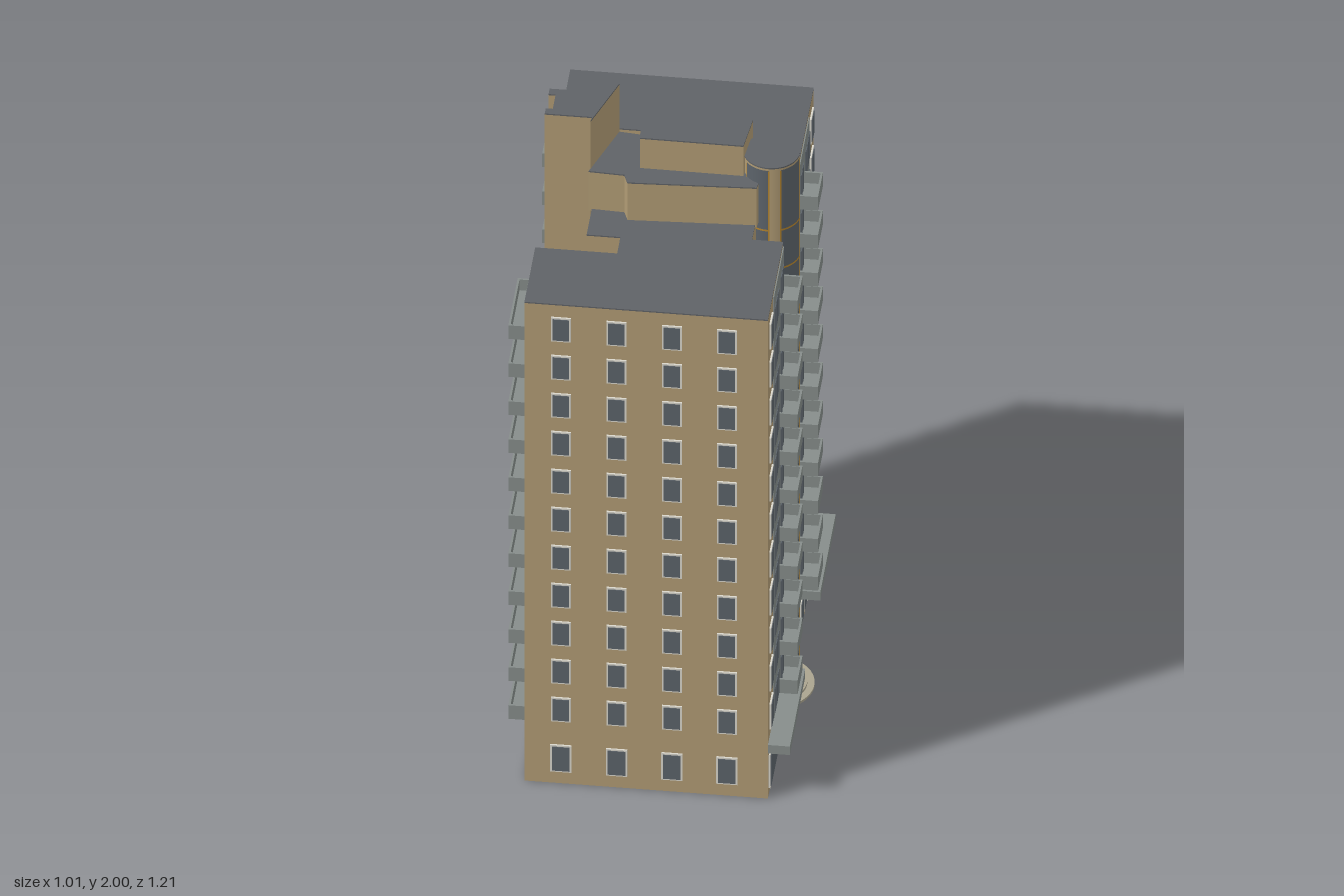
import * as THREE from 'three';
import { mergeGeometries } from 'three/addons/utils/BufferGeometryUtils.js';

const mat = (name, color, side = THREE.FrontSide) => {
  const m = new THREE.MeshStandardMaterial({ color, side });
  m.name = name;
  return m;
};

export function createModel() {
  const M = {
    wall: mat('tan wall', 0xb09b74),
    roof: mat('roof grey', 0x5f6266),
    panel: mat('panel grey', 0x868d8a),
    glass: mat('window glass', 0x5c636a),
    frame: mat('window frame', 0xd9d6cb),
    gold: mat('gold trim', 0xb5852f),
    plinth: mat('plinth stone', 0xaaa48f),
  };
  const model = new THREE.Group();
  model.name = 'apartmentTower';
  const body = new THREE.Group();
  body.name = 'mainBody';
  body.rotation.y = THREE.MathUtils.degToRad(13);
  const crown = new THREE.Group();
  crown.name = 'roofStructures';
  model.add(body, crown);

  const addMesh = (parent, name, geo, material) => {
    const mesh = new THREE.Mesh(geo, material);
    mesh.name = name;
    parent.add(mesh);
    return mesh;
  };

  // Walls raised from a plan of [x, z] points, with a thin grey roof on top
  const prism = (parent, name, plan, y0, y1) => {
    const shape = new THREE.Shape(plan.map(([x, z]) => new THREE.Vector2(x, -z)));
    for (const [suffix, from, to, m] of [['Walls', y0, y1 - 0.004, M.wall], ['Roof', y1 - 0.004, y1, M.roof]]) {
      const geo = new THREE.ExtrudeGeometry(shape, { depth: to - from, bevelEnabled: false });
      geo.rotateX(-Math.PI / 2).translate(0, from, 0);
      addMesh(parent, name + suffix, geo, m);
    }
  };

  // Two wings joined by a narrower core
  const half = [[0.245, 0.175], [0.333, 0.175], [0.333, 0.533], [-0.353, 0.533],
    [-0.353, 0.283], [-0.122, 0.283], [-0.122, 0.208], [-0.217, 0.208]];
  const mirrored = half.map(([x, z]) => [x, -z]).reverse();
  prism(body, 'wings', [...half, ...mirrored], 0, 1.697);

  // Stair tower with two projecting fins
  prism(body, 'stairTower', [[-0.353, -0.053], [-0.353, -0.028], [-0.333, -0.028], [-0.333, 0.037],
    [-0.353, 0.037], [-0.353, 0.061], [-0.219, 0.061], [-0.222, 0.08], [-0.162, -0.099],
    [-0.214, -0.099], [-0.222, -0.055]], 0, 2);

  // Penthouse and machine room
  prism(crown, 'penthouse', [[-0.18, -0.06], [0.2, -0.108], [0.25, -0.108], [0.268, 0.05],
    [-0.08, 0.15], [-0.1, 0.12], [-0.2, 0.138]], 1.69, 1.83);
  prism(crown, 'machineRoom', [[-0.092, 0], [0.06, -0.091], [0.2, -0.107], [0.215, 0.012], [-0.07, 0.076]], 1.82, 1.937);

  // Facade pieces are gathered by name, then merged
  const parts = {};
  const put = (name, material, w, h, d, x, y, z) => {
    (parts[name] ??= { material, list: [] }).list.push(new THREE.BoxGeometry(w, h, d).translate(x, y, z));
  };
  // Thin plate on a wall: axis is the direction of the wall's normal
  const plate = (name, material, axis, at, along, y, w, h, t) =>
    axis === 'z' ? put(name, material, w, h, t * 2, along, y, at) : put(name, material, t * 2, h, w, at, y, along);
  const framed = (axis, at, along, y, w, h) => {
    plate('windowFrames', M.frame, axis, at, along, y, w, h, 0.005);
    plate('windowGlass', M.glass, axis, at, along, y, w - 0.01, h - 0.01, 0.007);
  };
  // Balcony with a floor and three parapets, projecting along x
  const balcony = (x0, x1, z0, z1, y) => {
    const t = 0.006, h = 0.048, w = Math.abs(x1 - x0), d = Math.abs(z1 - z0);
    const cx = (x0 + x1) / 2, cz = (z0 + z1) / 2;
    put('balconies', M.panel, w, 0.01, d, cx, y + 0.005, cz);
    put('balconies', M.panel, t, h, d, x1 - Math.sign(x1) * t / 2, y + h / 2, cz);
    for (const z of [z0, z1])
      put('balconies', M.panel, w, h, t, cx, y + h / 2, z + Math.sign(cz - z) * t / 2);
  };

  const floors = Array.from({ length: 11 }, (_, i) => 0.26 + i * 0.1347);
  for (const s of [1, -1]) {
    // Grey facade strips on the east and west ends of each wing
    plate('facadePanels', M.panel, 'x', 0.333, s * 0.297, 0.938, 0.23, 1.495, 0.003);
    plate('facadePanels', M.panel, 'x', -0.353, s * 0.393, 0.93, 0.215, 1.5, 0.003);
    for (const y of floors) {
      framed('x', 0.333, s * 0.47, y + 0.003, 0.058, 0.088);
      for (const z of [0.395, 0.36, 0.325, 0.25, 0.215])
        plate('panelWindows', M.glass, 'x', 0.333, s * z, y - 0.01, 0.027, 0.085, 0.006);
      for (const z of [0.315, 0.35, 0.425, 0.46])
        plate('panelWindows', M.glass, 'x', -0.353, s * z, y - 0.01, 0.028, 0.085, 0.006);
      balcony(0.333, 0.388, s * 0.18, s * 0.295, y - 0.069);
      balcony(-0.353, -0.402, s * 0.286, s * 0.503, y - 0.069);
      framed('z', s * 0.283, -0.235, y, 0.054, 0.085);
    }
    // Four columns of windows on the long outer walls
    for (const x of [-0.25, -0.093, 0.063, 0.218]) {
      for (const y of floors) framed('z', s * 0.533, x, y + 0.003, 0.056, 0.084);
      framed('z', s * 0.533, x, 0.09, 0.06, 0.094);
    }
    // Ground floor windows and canopy
    framed('x', 0.333, s * 0.43, 0.08, 0.165, 0.118);
    framed('x', 0.333, s * 0.3, 0.08, 0.058, 0.08);
    framed('x', 0.333, s * 0.23, 0.08, 0.058, 0.08);
    put('canopies', M.panel, 0.062, 0.03, 0.358, 0.364, 0.175, s * 0.354);
  }
  for (const [name, { material, list }] of Object.entries(parts))
    addMesh(body, name, mergeGeometries(list), material);

  // Round lift shaft on a stepped plinth, with glazed strips and gold trim
  const shaft = new THREE.Group();
  shaft.name = 'roundShaft';
  shaft.position.set(0.277, 0, -0.05);
  model.add(shaft);
  const drum = (name, r, y0, y1, m) =>
    addMesh(shaft, name, new THREE.CylinderGeometry(r, r, y1 - y0, 48).translate(0, (y0 + y1) / 2, 0), m);
  drum('plinthLower', 0.12, 0, 0.008, M.plinth);
  drum('plinthUpper', 0.1, 0.008, 0.016, M.plinth);
  drum('shaftWall', 0.078, 0.01, 1.886, M.wall);
  drum('shaftRoof', 0.079, 1.886, 1.89, M.roof);

  // Curved strip between two angles, measured from +x towards +z
  const arc = (r, a0, a1, y0, y1) => {
    const rad = THREE.MathUtils.degToRad;
    return new THREE.CylinderGeometry(r, r, y1 - y0, 12, 1, true, rad(90 - a1), rad(a1 - a0))
      .translate(0, (y0 + y1) / 2, 0);
  };
  const glazing = [], trim = [];
  for (const [a0, a1] of [[-118, -66], [-4, 52], [76, 130]]) {
    glazing.push(arc(0.0795, a0, a1, 0.016, 1.88));
    for (const a of [a0, a1]) trim.push(arc(0.0812, a - 1.3, a + 1.3, 0.016, 1.88));
    for (let i = 0; i < 13; i++) trim.push(arc(0.081, a0, a1, 0.05 + i * 0.1347, 0.056 + i * 0.1347));
  }
  addMesh(shaft, 'shaftGlazing', mergeGeometries(glazing), M.glass);
  addMesh(shaft, 'shaftTrim', mergeGeometries(trim), M.gold);

  return model;
}
